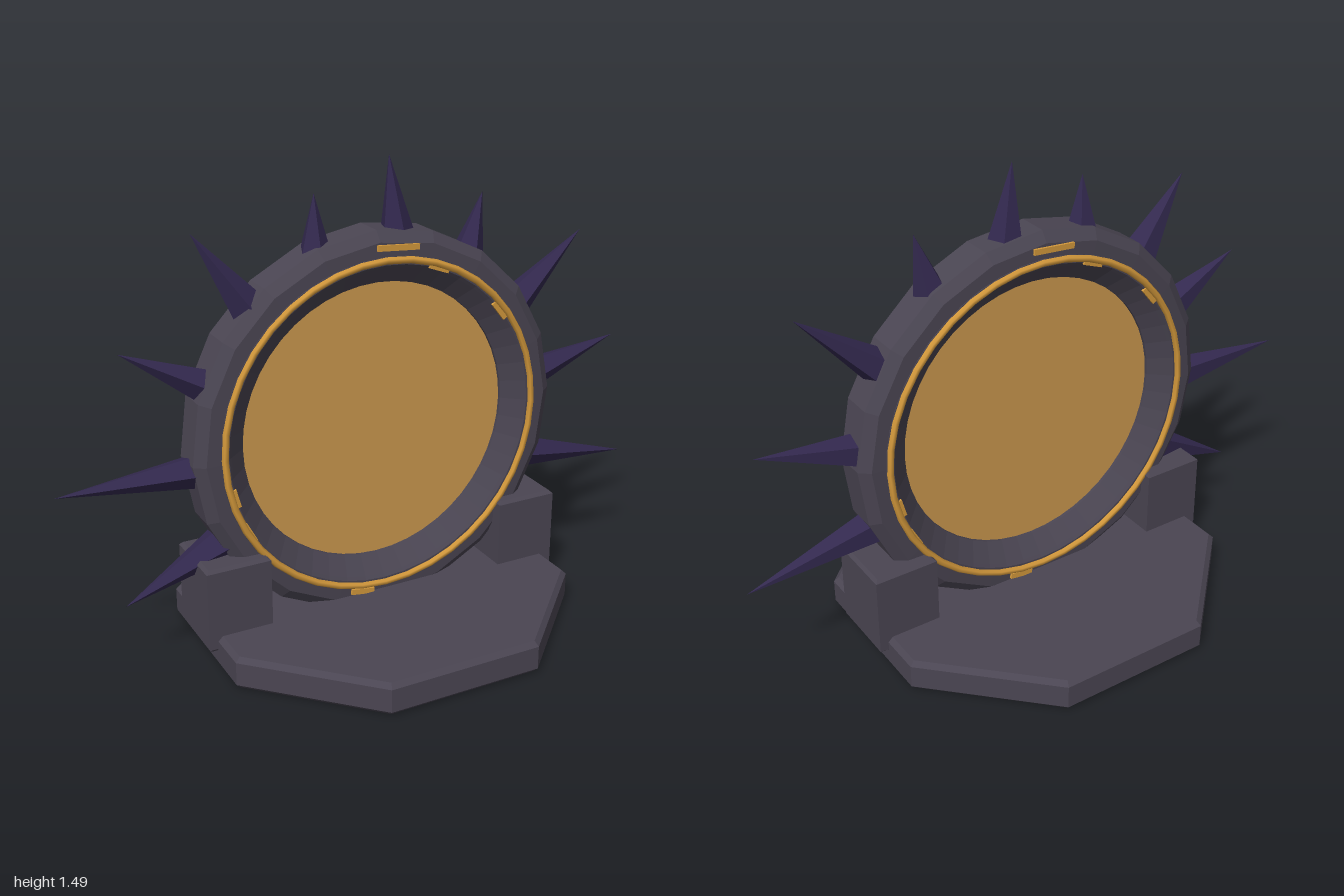
import * as THREE from 'three';

const stone = new THREE.MeshStandardMaterial({ color: 0x4a4552, flatShading: true });
stone.name = 'dark stone';
const gold = new THREE.MeshStandardMaterial({ color: 0xd59a3c });
gold.name = 'gold trim';
const amber = new THREE.MeshStandardMaterial({ color: 0xcc994f });
amber.name = 'amber disc';
const violet = new THREE.MeshStandardMaterial({ color: 0x33294f, flatShading: true });
violet.name = 'dark violet';

const CX = 0.02, CY = 0.66;

function add(parent, name, geometry, material) {
  const mesh = new THREE.Mesh(geometry, material);
  mesh.name = name;
  parent.add(mesh);
  return mesh;
}

// Polygon plate with chamfered edges; size is the outer outline
function chamferedPlate(points, height, bevel) {
  const geometry = new THREE.ExtrudeGeometry(new THREE.Shape(points), {
    depth: height - 2 * bevel, bevelEnabled: true, bevelSegments: 1,
    bevelSize: bevel, bevelThickness: bevel, bevelOffset: -bevel,
  });
  geometry.translate(0, 0, bevel);
  geometry.rotateX(-Math.PI / 2);
  return geometry;
}

// Closed profile of [radius, z] revolved about the z axis
function ringGeometry(profile, sides, phase = 0) {
  const pts = [...profile, profile[0]].map(([r, z]) => new THREE.Vector2(r, z));
  const geometry = new THREE.LatheGeometry(pts, sides, phase);
  geometry.rotateX(Math.PI / 2);
  return geometry;
}

export function createModel() {
  const model = new THREE.Group();
  model.name = 'spikedRingOnStand';

  // Octagonal base
  const a = 0.587, b = 0.25;
  const octagon = [[a, -b], [a, b], [b, a], [-b, a], [-a, b], [-a, -b], [-b, -a], [b, -a]]
    .map(([x, y]) => new THREE.Vector2(x, y));
  add(model, 'base', chamferedPlate(octagon, 0.105, 0.015), stone).position.x = CX;

  // Two side posts holding the ring
  const px = 0.104, pz = 0.115;
  const postOutline = [[-px, -pz], [px, -pz], [px, pz], [-px, pz]].map(([x, y]) => new THREE.Vector2(x, y));
  for (const side of [-1, 1]) {
    const post = add(model, side > 0 ? 'leftPost' : 'rightPost', chamferedPlate(postOutline, 0.275, 0.01), stone);
    post.position.set(CX + side * 0.511, 0.055, 0);
  }

  const ring = new THREE.Group();
  ring.name = 'ring';
  ring.position.set(CX, CY, 0);
  model.add(ring);

  // Faceted outer rim and rounder inner lip
  add(ring, 'outerRim', ringGeometry(
    [[0.52, -0.078], [0.585, -0.075], [0.618, -0.05], [0.618, 0.05], [0.585, 0.075], [0.52, 0.078]],
    20, 0.03), stone);
  add(ring, 'innerLip', ringGeometry(
    [[0.45, -0.025], [0.505, -0.072], [0.515, -0.08], [0.54, -0.08],
      [0.54, 0.08], [0.515, 0.08], [0.505, 0.072], [0.45, 0.025]], 48), stone);

  // Central disc
  const disc = new THREE.CylinderGeometry(0.47, 0.47, 0.03, 48);
  disc.rotateX(Math.PI / 2);
  add(ring, 'disc', disc, amber);

  // Gold band on each face, with short worn inlays beside it: [x, y, length]
  const inlays = [[0.04, 0.565, 0.14], [0.18, 0.485, 0.07], [0.4, 0.32, 0.07],
    [-0.5, -0.13, 0.06], [-0.46, -0.25, 0.07], [-0.08, -0.545, 0.08]];
  for (const side of [-1, 1]) {
    add(ring, side > 0 ? 'frontBand' : 'backBand', new THREE.TorusGeometry(0.53, 0.011, 6, 40), gold)
      .position.z = side * 0.084;
    for (const [x, y, length] of inlays) {
      const inlay = add(ring, 'inlay', new THREE.BoxGeometry(length, 0.018, 0.008), gold);
      inlay.position.set(side * x, y, side * 0.081);
      inlay.rotation.z = Math.atan2(y, side * x) + Math.PI / 2;
    }
  }

  // Spikes: [base x, base y, tip x, tip y]
  const spikes = [
    [-0.57, 0.61, -0.995, 0.61], [-0.54, 0.875, -0.785, 1.005], [-0.41, 1.11, -0.555, 1.32],
    [-0.175, 1.22, -0.175, 1.395], [0.095, 1.26, 0.07, 1.485], [0.35, 1.165, 0.395, 1.34],
    [0.54, 0.98, 0.77, 1.18], [0.61, 0.72, 0.925, 0.8], [0.58, 0.445, 0.99, 0.365],
    [-0.53, 0.345, -0.81, 0.215],
  ];
  const up = new THREE.Vector3(0, 1, 0);
  for (const [bx, by, tx, ty] of spikes) {
    const base = new THREE.Vector3(bx, by, 0);
    const dir = new THREE.Vector3(tx, ty, 0).sub(base);
    const length = dir.length() + 0.04;
    dir.normalize();
    const cone = new THREE.ConeGeometry(0.06, length, 5);
    cone.translate(0, length / 2 - 0.04, 0);
    const spike = add(model, 'spike', cone, violet);
    spike.position.copy(base);
    spike.quaternion.setFromUnitVectors(up, dir);
  }

  return model;
}
